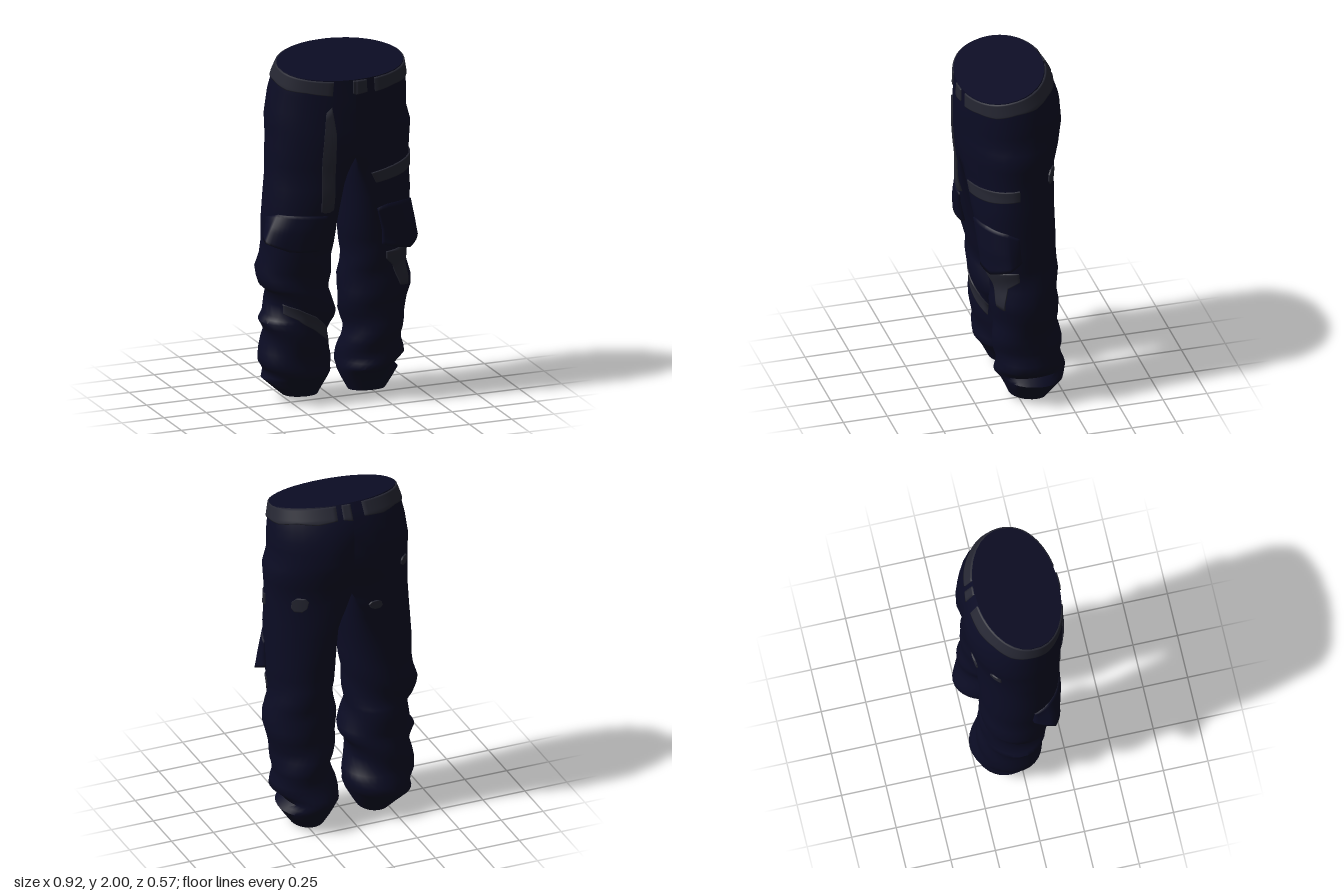
import * as THREE from 'three';
import { toCreasedNormals } from 'three/addons/utils/BufferGeometryUtils.js';

const navy = new THREE.MeshStandardMaterial({ color: 0x0b0c24 });
navy.name = 'navy cloth';
const grey = new THREE.MeshStandardMaterial({ color: 0x262733 });
grey.name = 'grey patch';

// Leg sections: [y, inner x, outer x, front z, back z, half-hip blend (0 oval, 1 half oval), tilt]
const LEFT = [
  [0.016, 0.12, 0.32, 0.05, -0.165, 0, 0.14],
  [0.13, 0.06, 0.4, 0.1, -0.245, 0, 0.08],
  [0.17, 0.05, 0.365, 0.12, -0.265, 0, 0],
  [0.23, 0.06, 0.42, 0.125, -0.25, 0, 0],
  [0.31, 0.08, 0.4, 0.14, -0.235, 0, 0],
  [0.38, 0.085, 0.42, 0.14, -0.23, 0, 0],
  [0.48, 0.065, 0.41, 0.145, -0.22, 0, 0],
  [0.62, 0.04, 0.46, 0.155, -0.21, 0, 0],
  [0.75, 0.065, 0.425, 0.165, -0.215, 0, 0],
  [0.87, 0.055, 0.42, 0.18, -0.21, 0, 0],
  [1.0, 0.04, 0.425, 0.21, -0.21, 0.05, 0],
  [1.2, 0.03, 0.43, 0.243, -0.215, 0.35, 0],
];
const RIGHT = [
  [0.03, -0.08, -0.27, 0.05, -0.16, 0, 0.1],
  [0.13, -0.02, -0.385, 0.1, -0.24, 0, 0.05],
  [0.17, 0.0, -0.38, 0.12, -0.26, 0, 0],
  [0.23, 0.0, -0.41, 0.125, -0.25, 0, 0],
  [0.3, -0.03, -0.4, 0.135, -0.235, 0, 0],
  [0.41, -0.03, -0.39, 0.14, -0.225, 0, 0],
  [0.48, 0.005, -0.415, 0.145, -0.22, 0, 0],
  [0.52, 0.005, -0.385, 0.15, -0.22, 0, 0],
  [0.65, -0.025, -0.385, 0.155, -0.21, 0, 0],
  [0.69, -0.03, -0.42, 0.16, -0.205, 0, 0],
  [0.78, -0.025, -0.435, 0.165, -0.215, 0, 0],
  [0.92, -0.01, -0.41, 0.19, -0.21, 0, 0],
  [1.05, 0.0, -0.415, 0.22, -0.21, 0.1, 0],
  [1.2, 0.015, -0.41, 0.243, -0.215, 0.35, 0],
];
// Hip sections shared by both sides; the outer x is given for left and right
const HIPS = [
  [1.35, 0.425, -0.4, 0.255, -0.23, 0.75, 0],
  [1.45, 0.425, -0.4, 0.275, -0.245, 1, 0],
  [1.57, 0.435, -0.395, 0.285, -0.27, 1, 0],
  [1.66, 0.412, -0.395, 0.285, -0.287, 1, -0.03],
  [1.78, 0.41, -0.378, 0.285, -0.275, 1, -0.1],
  [1.88, 0.397, -0.36, 0.282, -0.23, 1, -0.2],
  [1.95, 0.38, -0.34, 0.28, -0.19, 1, -0.213],
];
for (const [y, xl, xr, ...rest] of HIPS) {
  LEFT.push([y, 0.02, xl, ...rest]);
  RIGHT.push([y, 0.02, xr, ...rest]);
}

const { clamp, smoothstep, degToRad } = THREE.MathUtils;

// Point on a leg at height y and angle t (0 outer side, +90 degrees front), pushed out by off
function legPoint(rows, y, t, off = 0) {
  let i = 0;
  while (i < rows.length - 2 && y > rows[i + 1][0]) i++;
  const s = clamp((y - rows[i][0]) / (rows[i + 1][0] - rows[i][0]), 0, 1);
  const [, xi, xo, zf, zb, k, tilt] = rows[i].map((a, j) => a + (rows[i + 1][j] - a) * s);
  const cx = (xi + xo) / 2, cz = (zf + zb) / 2;
  const c = Math.cos(t), n = Math.sin(t) > 0 ? Math.sin(t) ** 0.87 : Math.sin(t);
  const oval = cx + (xo - cx) * c;
  const half = xi + (xo - xi) * Math.max(c, 0);
  // soft diagonal folds below the knee
  const fade = smoothstep(y, 0.05, 0.2) * (1 - smoothstep(y, 0.75, 1));
  const d = off + 0.008 * fade * Math.sin(28 * y + 2 * t);
  const x = oval + (half - oval) * k + d * Math.cos(t) * Math.sign(xo);
  // shallow hollow down the middle of the seat
  const seat = smoothstep(y, 1.3, 1.5) * (1 - smoothstep(y, 1.7, 1.88));
  const dent = 0.026 * seat * Math.exp(-(((x - 0.02) / 0.06) ** 2)) * Math.max(-n, 0);
  const z = cz + (zf - cz) * n + d * Math.sin(t) + dent;
  return new THREE.Vector3(x, y + tilt * (z - cz), z);
}

// Surface from a grid of points, closed around unless f.open is set
function grid(nu, nv, f, flip) {
  const pos = [], index = [];
  for (let j = 0; j <= nv; j++) for (let i = 0; i < nu; i++) pos.push(...f(i, j).toArray());
  const add = (a, b, c) => index.push(...(flip ? [a, c, b] : [a, b, c]));
  const columns = f.open ? nu - 1 : nu;
  for (let j = 0; j < nv; j++) for (let i = 0; i < columns; i++) {
    const a = j * nu + i, b = j * nu + ((i + 1) % nu);
    add(a, a + nu, b);
    add(b, a + nu, b + nu);
  }
  const g = new THREE.BufferGeometry();
  g.setAttribute('position', new THREE.Float32BufferAttribute(pos, 3));
  g.setIndex(index);
  g.computeVertexNormals();
  return g;
}

function mesh(name, geometry, material) {
  const m = new THREE.Mesh(geometry, material);
  m.name = name;
  return m;
}

// One trouser leg with its half of the hips, closed at hem and waist
function leg(name, rows, flip) {
  const group = new THREE.Group();
  group.name = name;
  const N = 32, angle = (i) => (i / N) * Math.PI * 2;
  const ys = rows.flatMap((r, i) => (i ? [(rows[i - 1][0] + r[0]) / 2, r[0]] : [r[0]]));
  const cloth = grid(N, ys.length - 1, (i, j) => legPoint(rows, ys[j], angle(i)), flip);
  group.add(mesh(name + 'Cloth', toCreasedNormals(cloth, 1), navy));
  const cap = (y, top) => {
    const mid = legPoint(rows, y, 0).add(legPoint(rows, y, Math.PI)).multiplyScalar(0.5);
    return grid(N, 1, (i, j) => ((j === 1) === top ? mid : legPoint(rows, y, angle(i))), flip);
  };
  group.add(mesh(name + 'Hem', cap(ys[0], false), navy));
  group.add(mesh(name + 'WaistTop', cap(ys[ys.length - 1], true), navy));
  return group;
}

// Angle on the front of a leg that lies at a given x
function angleAtX(rows, y, x, flip) {
  let a = 0, b = Math.PI;
  for (let i = 0; i < 30; i++) {
    const m = (a + b) / 2;
    if ((legPoint(rows, y, m).x > x) !== flip) a = m; else b = m;
  }
  return (a + b) / 2;
}

// Panel lying on a leg; stations are [degrees or x, low y, high y, flare at the low edge]
function panel(name, rows, flip, stations, material, byX = false) {
  const st = [...stations].sort((p, q) => p[0] - q[0]);
  const per = 5, nu = (st.length - 1) * per, nv = 12;
  const f = (i, j) => {
    const u = clamp(i - 1, 0, nu), v = clamp(j - 1, 0, nv) / nv;
    const k = Math.min(Math.floor(u / per), st.length - 2), s = u / per - k;
    const [key, lo, hi, flare = 0] = st[k].map((a, n) => a + ((st[k + 1][n] ?? 0) - a) * s);
    const y = lo + (hi - lo) * v;
    const t = byX ? angleAtX(rows, y, key, flip) : degToRad(key);
    const rim = i < 1 || i > nu + 1 || j < 1 || j > nv + 1;
    return legPoint(rows, y, t, rim ? -0.006 : 0.007 + flare * (1 - v));
  };
  f.open = true;
  return mesh(name, grid(nu + 3, nv + 2, f, flip), material);
}

export function createModel() {
  const model = new THREE.Group();
  model.name = 'cargoTrousers';
  model.add(leg('leftLeg', LEFT, false), leg('rightLeg', RIGHT, true));
  const left = (name, st, mat = grey) => model.add(panel(name, LEFT, false, st, mat));
  const right = (name, st, mat = grey, byX) => model.add(panel(name, RIGHT, true, st, mat, byX));

  // flared cargo pockets
  right('rightPocket', [[8, 1.0, 1.1, 0.01], [30, 0.98, 1.13, 0.085], [58, 0.93, 1.13, 0.04], [102, 0.915, 1.12, 0.015]], navy);
  left('leftPocket', [[8, 0.95, 1.1, 0.005], [24, 0.915, 1.13, 0.05], [55, 0.875, 1.15, 0.05], [78, 0.895, 1.15, 0.04], [96, 0.91, 1.13, 0.01]], navy);

  // waistband patches, with a small one at the middle front and back
  const band = (angles) => angles.map((a, i) => [a, 1.864 + 0.01 * (i % 2), 1.945]);
  left('leftWaistPatch', band([72, 50, 28, 5, -18, -40, -60, -77]));
  right('rightWaistPatch', band([70, 46, 24, 2, -20, -42, -60, -79]));
  left('frontLoop', band([90, 80]));
  right('frontLoopSide', band([90, 87.5]));
  left('backLoop', band([-90, -82]));

  // worn stripes and patches
  right('rightThighStripe', [[-0.165, 1.15, 1.45], [-0.147, 1.14, 1.74], [-0.115, 1.14, 1.78], [-0.09, 1.15, 1.6]], grey, true);
  right('rightShinStripe', [[42, 0.545, 0.6], [70, 0.51, 0.575], [100, 0.45, 0.52], [140, 0.36, 0.42]]);
  left('leftThighStripe', [[82, 1.285, 1.345], [45, 1.305, 1.375], [5, 1.335, 1.4]]);
  left('leftKneePatch', [[90, 0.82, 0.86], [75, 0.77, 0.865], [65, 0.65, 0.87], [48, 0.64, 0.87], [38, 0.77, 0.87], [15, 0.82, 0.875]]);

  // small round spots on the back
  const spot = (a, y, w, h) => [-1, -0.5, 0.5, 1].map((s) => {
    const r = h * (Math.abs(s) === 1 ? 0.45 : 1);
    return [a + s * w, y - r, y + r];
  });
  left('leftBackSpot', spot(-46, 1.41, 8, 0.042));
  right('rightBackSpot', spot(-35, 1.55, 6, 0.028));
  right('rightSeatSpot', spot(-76, 1.35, 6, 0.026));
  return model;
}
